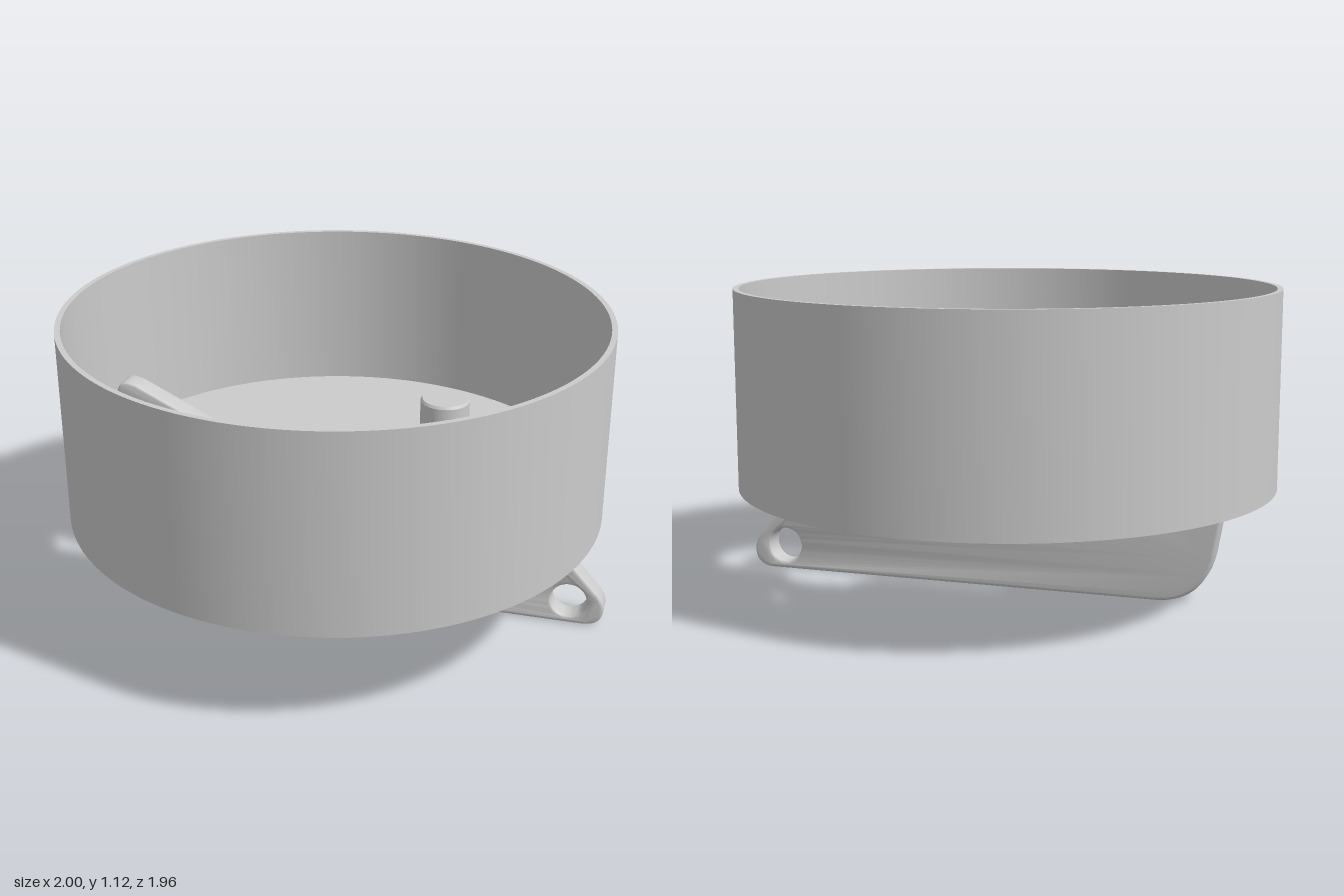
import * as THREE from 'three';
import { toCreasedNormals } from 'three/addons/utils/BufferGeometryUtils.js';

const CX = -0.018, R = 0.98, INNER = 0.96;
const FLOOR_TOP = 0.472, FLOOR_BOTTOM = 0.408;

const material = new THREE.MeshStandardMaterial({ color: 0xcccccc });

function addMesh(group, name, geometry, crease = 0.6) {
  const mesh = new THREE.Mesh(toCreasedNormals(geometry, crease), material);
  mesh.name = name;
  group.add(mesh);
  return mesh;
}

const lathe = (pts, segments) =>
  new THREE.LatheGeometry(pts.map(([x, y]) => new THREE.Vector2(x, y)), segments);

// Long slot with rounded ends that opens at the back into a round pocket
// (drawn with shape y as world z)
function slotPath() {
  const mid = -0.027, back = -0.174, front = 0.12;
  const x0 = -0.91, x1 = 0.87, c = 0.13, k = 0.06;
  const hx = 0.31, hz = -0.4, hr = 0.145;
  const p = new THREE.Path();
  p.moveTo(x0, mid);
  p.bezierCurveTo(x0, mid - 0.08, x0 + k, back, x0 + c, back);
  p.lineTo(0.03, back);
  p.bezierCurveTo(0.11, back, hx - hr, -0.24, hx - hr, -0.32);
  p.lineTo(hx - hr, hz);
  p.absarc(hx, hz, hr, Math.PI, 2 * Math.PI, false);
  p.lineTo(hx + hr, -0.31);
  p.bezierCurveTo(hx + hr, -0.23, 0.51, back, 0.59, back);
  p.lineTo(x1 - c, back);
  p.bezierCurveTo(x1 - k, back, x1, mid - 0.08, x1, mid);
  p.bezierCurveTo(x1, mid + 0.08, x1 - k, front, x1 - c, front);
  p.lineTo(x0 + c, front);
  p.bezierCurveTo(x0 + k, front, x0, mid + 0.08, x0, mid);
  return p;
}

// Flat round slab with the slot cut through
function floorGeometry() {
  const disc = new THREE.Shape();
  disc.absarc(CX, 0, 0.968, 0, Math.PI * 2, false);
  disc.holes.push(slotPath());
  const g = new THREE.ExtrudeGeometry(disc, {
    depth: FLOOR_TOP - FLOOR_BOTTOM, bevelEnabled: false, curveSegments: 48,
  });
  return g.rotateX(Math.PI / 2).translate(0, FLOOR_TOP, 0);
}

// Upright plate with a dipped top edge and an eyelet at its low corner
function plateGeometry() {
  const s = new THREE.Shape();
  s.moveTo(-0.6, 0);
  s.lineTo(0.93, 0);
  s.quadraticCurveTo(1.0, 0.005, 1.0, 0.07);
  s.quadraticCurveTo(1.0, 0.1, 0.97, 0.135);
  s.lineTo(0.56, 0.59);
  s.quadraticCurveTo(0.52, 0.64, 0.47, 0.62);
  s.bezierCurveTo(0.25, 0.54, -0.15, 0.5, -0.4, 0.58);
  s.lineTo(-0.77, 0.76);
  s.quadraticCurveTo(-0.86, 0.8, -0.865, 0.72);
  s.lineTo(-0.838, 0.4);
  s.lineTo(-0.8, 0.18);
  s.quadraticCurveTo(-0.765, 0.01, -0.6, 0);
  const eyelet = new THREE.Path();
  eyelet.absarc(0.87, 0.093, 0.066, 0, Math.PI * 2, true);
  s.holes.push(eyelet);
  const bevel = 0.012, width = 0.086;
  const g = new THREE.ExtrudeGeometry(s, {
    depth: width - 2 * bevel, bevelEnabled: true, bevelThickness: bevel,
    bevelSize: bevel, bevelOffset: -bevel, bevelSegments: 4, curveSegments: 20,
  });
  return g.translate(0, 0, -0.012 - width / 2 + bevel);
}

export function createModel() {
  const model = new THREE.Group();
  model.name = 'slottedDrum';

  // Thin round wall, open at top and bottom
  const wall = lathe([
    [INNER, 0.4], [R, 0.4], [R, 1.115], [INNER, 1.115], [INNER, 0.4],
  ], 128);
  addMesh(model, 'drumWall', wall).position.x = CX;

  addMesh(model, 'slottedFloor', floorGeometry());
  addMesh(model, 'slotPlate', plateGeometry(), 0.7);

  // Pin with a flange under the floor
  const pin = lathe([
    [0, 0.34], [0.122, 0.34], [0.128, 0.346], [0.128, 0.379], [0.122, 0.385],
    [0.095, 0.385], [0.095, 0.645], [0.088, 0.655], [0, 0.655],
  ], 40);
  addMesh(model, 'flangedPin', pin).position.set(0.305, 0, -0.41);

  return model;
}
